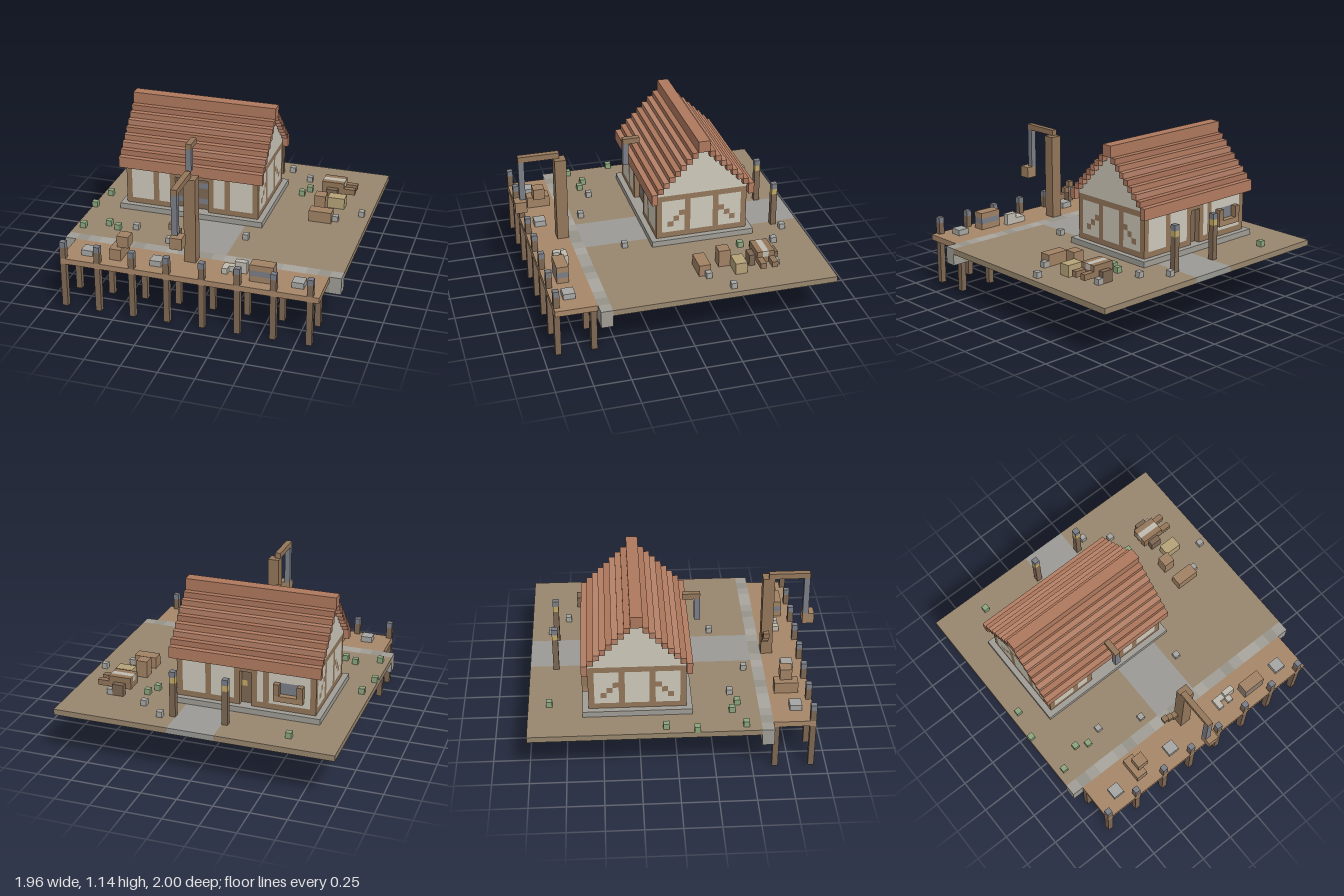
import * as THREE from 'three';

const U = 2 / 49; // one block; x runs -24..24, y 0..28, z 0..49
const C = {
  soil: 0x98866e, path: 0x9b9a95, stone: 0xa09d96, stone2: 0xa9a69f, stone3: 0x969389,
  plank: 0xa78769, timber: 0x93765a, dark: 0x7d6753, cream: 0xcdc8ba, crate: 0xa18264,
  metal: 0x7b7e86, green: 0x8ba67e, straw: 0xb5a278, white: 0xbfbbb0, lamp: 0xc2aa66, rock: 0xa6a7a4,
};

// Block grid: fill boxes of blocks, then skin each part with its exposed faces
class Blocks {
  constructor() {
    this.cells = new Map();
    this.parts = new Map();
  }

  each([x0, x1, y0, y1, z0, z1], visit) {
    for (let x = x0; x < x1; x++) for (let y = y0; y < y1; y++) for (let z = z0; z < z1; z++) visit(`${x},${y},${z}`, [x, y, z]);
  }

  // Later fills replace earlier ones where they overlap
  fill(group, name, color, ...range) {
    const id = `${group}/${name}/${color}`;
    if (!this.parts.has(id)) this.parts.set(id, { group, name, color, positions: [] });
    const part = this.parts.get(id);
    this.each(range, (key, at) => this.cells.set(key, { part, at }));
  }

  carve(...range) {
    this.each(range, (key) => this.cells.delete(key));
  }

  // Sides and tops only: the blocks are open underneath
  skin() {
    for (const { part, at } of this.cells.values()) {
      for (const [axis, sign] of [[0, 1], [0, -1], [1, 1], [2, 1], [2, -1]]) {
        const next = [...at];
        next[axis] += sign;
        if (this.cells.has(next.join())) continue;
        const corner = (u, v) => {
          const p = [...at];
          if (sign > 0) p[axis] += 1;
          p[(axis + 1) % 3] += u;
          p[(axis + 2) % 3] += v;
          return [p[0] * U, p[1] * U, (p[2] - 24.5) * U];
        };
        const [a, b, c, d] = [corner(0, 0), corner(1, 0), corner(1, 1), corner(0, 1)];
        part.positions.push(...(sign > 0 ? [a, b, c, a, c, d] : [a, c, b, a, d, c]).flat());
      }
    }
  }

  toGroup(name) {
    this.skin();
    const root = new THREE.Group();
    root.name = name;
    const groups = {};
    for (const part of this.parts.values()) {
      if (!part.positions.length) continue;
      if (!groups[part.group]) {
        groups[part.group] = new THREE.Group();
        groups[part.group].name = part.group;
        root.add(groups[part.group]);
      }
      const geometry = new THREE.BufferGeometry();
      geometry.setAttribute('position', new THREE.Float32BufferAttribute(part.positions, 3));
      geometry.computeVertexNormals();
      const material = new THREE.MeshStandardMaterial({ color: part.color, flatShading: true, side: THREE.DoubleSide });
      const mesh = new THREE.Mesh(geometry, material);
      mesh.name = part.name;
      groups[part.group].add(mesh);
    }
    return root;
  }
}

function buildGround(b) {
  b.fill('ground', 'soil', C.soil, -24, 24, 8, 9, 0, 38);
  b.fill('ground', 'path', C.path, -4, 4, 8, 9, 0, 38);
  // Quay wall in two-block stones
  const shades = [C.stone, C.stone2, C.stone, C.stone3];
  for (let i = 0; i < 24; i++)
    b.fill('ground', 'quayStone', shades[(i * 3 + (i >> 2)) % 4], -24 + i * 2, -22 + i * 2, 6, 9, 38, 40);
}

function buildDock(b) {
  const add = (...args) => b.fill('dock', ...args);
  add('deck', C.plank, -22, 22, 8, 9, 40, 47);
  for (let x = -22; x <= 20; x += 6) {
    add('pile', C.dark, x, x + 1, 0, 11, 46, 47);
    add('pile', C.dark, x, x + 1, 0, 8, 40, 41);
    add('pileCap', C.metal, x, x + 1, 11, 12, 46, 47);
    add('deck', C.plank, x, x + 1, 8, 9, 46, 47);
  }
  // Goods on the deck
  for (const x of [-19, -7, 17]) add('stoneBlock', C.rock, x, x + 2, 9, 10, 43, 45);
  add('crate', C.crate, -14, -12, 9, 11, 41, 45);
  add('crate', C.crate, -13, -11, 11, 13, 42, 44);
  add('sack', C.white, 5, 9, 9, 10, 42, 43);
  for (const x of [5, 7]) add('sack', C.white, x, x + 1, 9, 10, 43, 44);
  add('sack', C.white, 7, 9, 10, 11, 42, 43);
  add('chest', C.crate, 10, 14, 9, 12, 43, 45);
  add('chestBand', C.metal, 10, 14, 10, 11, 43, 45);
  // Harbour crane
  b.fill('crane', 'mast', C.timber, -2, 0, 9, 24, 40, 42);
  b.fill('crane', 'jib', C.timber, -2, -1, 24, 25, 41, 48);
  b.fill('crane', 'chain', C.metal, -2, -1, 17, 24, 47, 48);
  b.fill('crane', 'load', C.crate, -2, 0, 15, 17, 47, 49);
  for (let i = 0; i < 3; i++) b.fill('crane', 'brace', C.timber, -5 + i, -4 + i, 14 - i, 15 - i, 40, 41);
}

function buildHouse(b) {
  const add = (...args) => b.fill('house', ...args);
  add('foundation', C.stone, -19, 7, 9, 10, 9, 27);
  // Plaster body with stepped gables, framed by sill and top beam
  add('wallPanel', C.cream, -18, 6, 10, 18, 10, 26);
  for (const [y0, y1] of [[10, 11], [17, 18]]) add('beam', C.timber, -18, 6, y0, y1, 10, 26);
  for (let k = 0; k < 8; k++) add('gable', C.cream, -18, 6, 18 + k, 19 + k, 10 + k, 26 - k);

  // Posts on the long walls
  for (const x of [-18, -13, -10, -3, 0, 5]) add('post', C.timber, x, x + 1, 11, 17, 25, 26);
  for (const x of [-18, -10, -8, -5, 0, 5]) add('post', C.timber, x, x + 1, 11, 17, 10, 11);
  // Posts and stepped braces on the side walls
  for (const x of [-18, 5]) {
    for (const z of [10, 15, 20, 25]) add('post', C.timber, x, x + 1, 11, 17, z, z + 1);
    for (let i = 0; i < 3; i++) for (const z of [23 - i, 12 + i]) add('brace', C.timber, x, x + 1, 12 + i, 13 + i, z, z + 1);
  }

  // Front door, set back in its frame
  add('lintel', C.timber, -10, -2, 16, 17, 25, 26);
  b.carve(-9, -3, 10, 16, 25, 26);
  add('frontDoor', C.dark, -9, -3, 10, 16, 24, 25);
  for (const y of [11, 14]) for (const x of [-9, -5]) add('hinge', C.metal, x, x + 2, y, y + 1, 24, 25);

  // Back door
  add('lintel', C.timber, -8, -4, 16, 17, 10, 11);
  b.carve(-7, -5, 10, 16, 10, 11);
  add('backDoor', C.dark, -7, -5, 10, 16, 11, 12);
  add('doorPane', C.lamp, -6, -5, 13, 14, 11, 12);

  // Back window with shutters and flower box
  add('windowGlass', C.metal, -15, -12, 13, 15, 10, 11);
  for (const x of [-16, -12]) add('shutter', C.timber, x, x + 1, 13, 15, 9, 10);
  add('flowerBox', C.crate, -16, -11, 12, 13, 9, 10);

  // Stepped roof
  const tiles = [0xb27c62, 0xab755b, 0xb68168];
  for (let i = 0; i < 8; i++) for (const z of [9 + i, 26 - i])
    b.fill('roof', 'tileRow', tiles[i % 3], -19, 7, i ? 18 + i : 17, 19 + i, z, z + 1);
  b.fill('roof', 'ridge', 0xae785e, -19, 7, 26, 28, 17, 19);

  // Hanging arm over the door
  add('signArm', C.timber, -6, -5, 23, 24, 26, 29);
  add('signChain', C.metal, -6, -5, 19, 23, 28, 29);
}

function buildYard(b) {
  const add = (...args) => b.fill('yard', ...args);
  for (const x of [-5, 4]) {
    add('lampPost', C.dark, x, x + 1, 9, 15, 4, 5);
    add('lampLight', C.lamp, x, x + 1, 15, 16, 4, 5);
    add('lampCap', C.metal, x, x + 1, 16, 17, 4, 5);
  }
  // Hand cart
  b.fill('cart', 'bed', C.timber, 14, 18, 10, 11, 9, 12);
  b.fill('cart', 'cargo', C.white, 14, 18, 11, 12, 10, 11);
  for (const z of [9, 11]) {
    b.fill('cart', 'side', C.timber, 14, 18, 11, 12, z, z + 1);
    b.fill('cart', 'handle', C.timber, 18, 20, 10, 11, z, z + 1);
  }
  for (const z of [8, 12]) b.fill('cart', 'wheel', C.dark, 15, 17, 9, 11, z, z + 1);
  // Crates and bale
  add('bale', C.straw, 16, 19, 9, 11, 14, 16);
  add('crate', C.crate, 14, 16, 9, 12, 16, 18);
  add('crate', C.crate, 14, 18, 9, 11, 20, 22);
  // Single-block bushes and rocks
  const bushes = [[-16, 3], [-23, 22], [-24, 27], [-19, 33], [-17, 34], [-23, 35], [10, 12], [11, 10]];
  const rocks = [[6, 3], [10, 6], [22, 17], [5, 31], [-14, 33], [-7, 36], [18, 20], [17, 8]];
  for (const [x, z] of bushes) add('bush', C.green, x, x + 1, 9, 10, z, z + 1);
  for (const [x, z] of rocks) add('rock', C.rock, x, x + 1, 9, 10, z, z + 1);
}

export function createModel() {
  const blocks = new Blocks();
  buildGround(blocks);
  buildDock(blocks);
  buildHouse(blocks);
  buildYard(blocks);
  return blocks.toGroup('harbourHouse');
}
